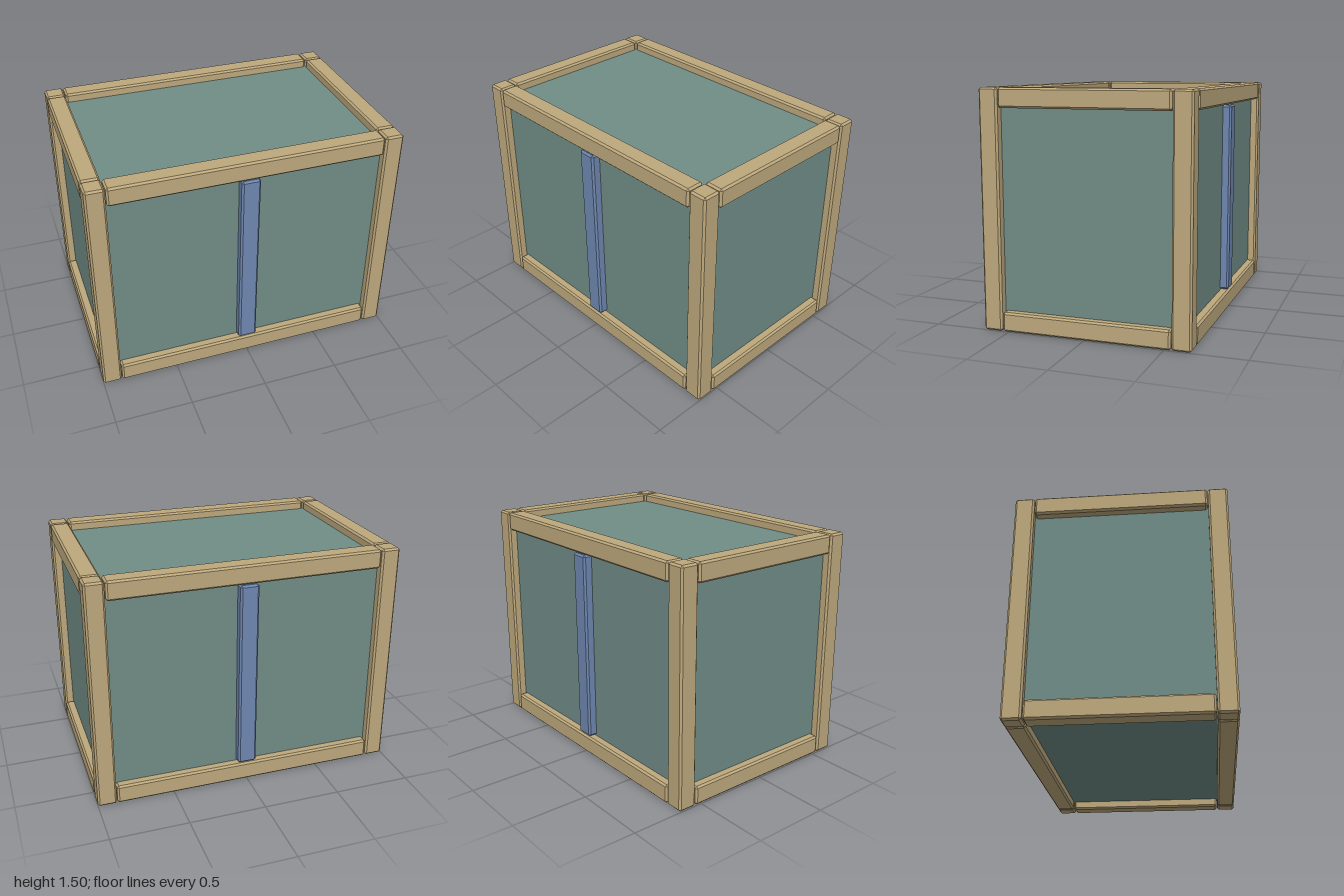
import * as THREE from 'three';
import { ConvexGeometry } from 'three/addons/geometries/ConvexGeometry.js';

const W = 2, H = 1.5, D = 1.333;   // overall size
const T = 0.122;                   // beam thickness
const RECESS = 0.056;              // panel depth behind the frame
const BEVEL = 0.012;

// Box with flat chamfers: three points for every corner
function chamferBox(w, h, d, c = BEVEL) {
  const points = [];
  for (const sx of [-1, 1]) for (const sy of [-1, 1]) for (const sz of [-1, 1]) {
    const x = w / 2, y = h / 2, z = d / 2;
    points.push(
      new THREE.Vector3(sx * x, sy * (y - c), sz * (z - c)),
      new THREE.Vector3(sx * (x - c), sy * y, sz * (z - c)),
      new THREE.Vector3(sx * (x - c), sy * (y - c), sz * z));
  }
  return new ConvexGeometry(points);
}

export function createModel() {
  const wood = new THREE.MeshStandardMaterial({ color: 0xbda87c });
  wood.name = 'tan wood';
  const teal = new THREE.MeshStandardMaterial({ color: 0x708c86 });
  teal.name = 'grey teal panel';
  const blue = new THREE.MeshStandardMaterial({ color: 0x6e87b0 });
  blue.name = 'slate blue';

  const model = new THREE.Group();
  model.name = 'crate';
  const add = (name, geometry, material, x, y, z) => {
    const mesh = new THREE.Mesh(geometry, material);
    mesh.name = name;
    mesh.position.set(x, y, z);
    model.add(mesh);
  };

  // Recessed body whose faces form all six panels
  add('panelBody', new THREE.BoxGeometry(W - 2 * RECESS, H - 2 * RECESS, D - 2 * RECESS),
    teal, 0, H / 2, 0);

  const post = chamferBox(T, H, T);
  const longRail = chamferBox(1.746, T, T);
  const sideRail = chamferBox(T, T, 1.08);
  const px = (W - T) / 2, pz = (D - T) / 2;

  for (const a of [-1, 1]) for (const b of [-1, 1]) {
    const railY = H / 2 + b * (H - T) / 2;
    // Corner posts
    add('cornerPost', post, wood, a * px, H / 2, b * pz);
    // Front and back rails, top and bottom
    add('longRail', longRail, wood, 0, railY, a * pz);
    // Side rails, top and bottom
    add('sideRail', sideRail, wood, a * px, railY, 0);
  }

  // Centre battens on the front and back
  const batten = chamferBox(T, 1.244, T);
  for (const s of [-1, 1]) add('centreBatten', batten, blue, 0, H / 2, s * pz);

  return model;
}
